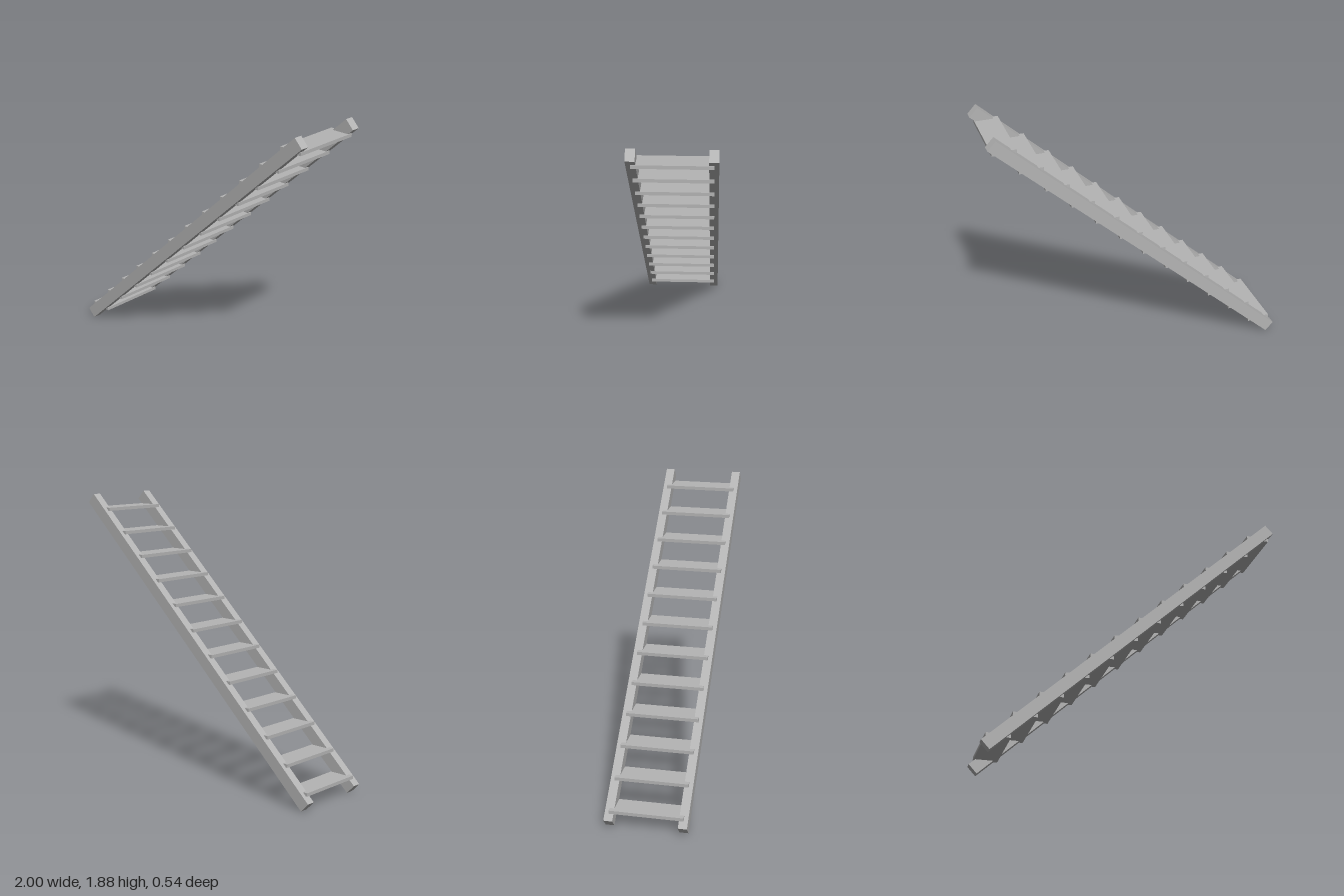
import * as THREE from 'three';

export function createModel() {
  const group = new THREE.Group();
  const grey = new THREE.MeshStandardMaterial({ color: 0xb4b4b4 });
  grey.name = 'grey';

  const slope = THREE.MathUtils.degToRad(43.1);
  const midY = 0.938;

  // Sloping side rails
  const railShape = new THREE.BoxGeometry(2.664, 0.08, 0.058);
  for (const side of [1, -1]) {
    const rail = new THREE.Mesh(railShape, grey);
    rail.name = side > 0 ? 'frontStringer' : 'backStringer';
    rail.position.set(0, midY, side * 0.24);
    rail.rotation.z = slope;
    group.add(rail);
  }

  // Level treads, let into the rails
  const count = 12;
  const treadShape = new THREE.BoxGeometry(0.158, 0.022, 0.482);
  for (let i = 0; i < count; i++) {
    const t = i - (count - 1) / 2;
    const tread = new THREE.Mesh(treadShape, grey);
    tread.name = `tread${i + 1}`;
    tread.position.set(t * 0.1622, midY + 0.002 + t * 0.1518, 0);
    group.add(tread);
  }
  return group;
}
